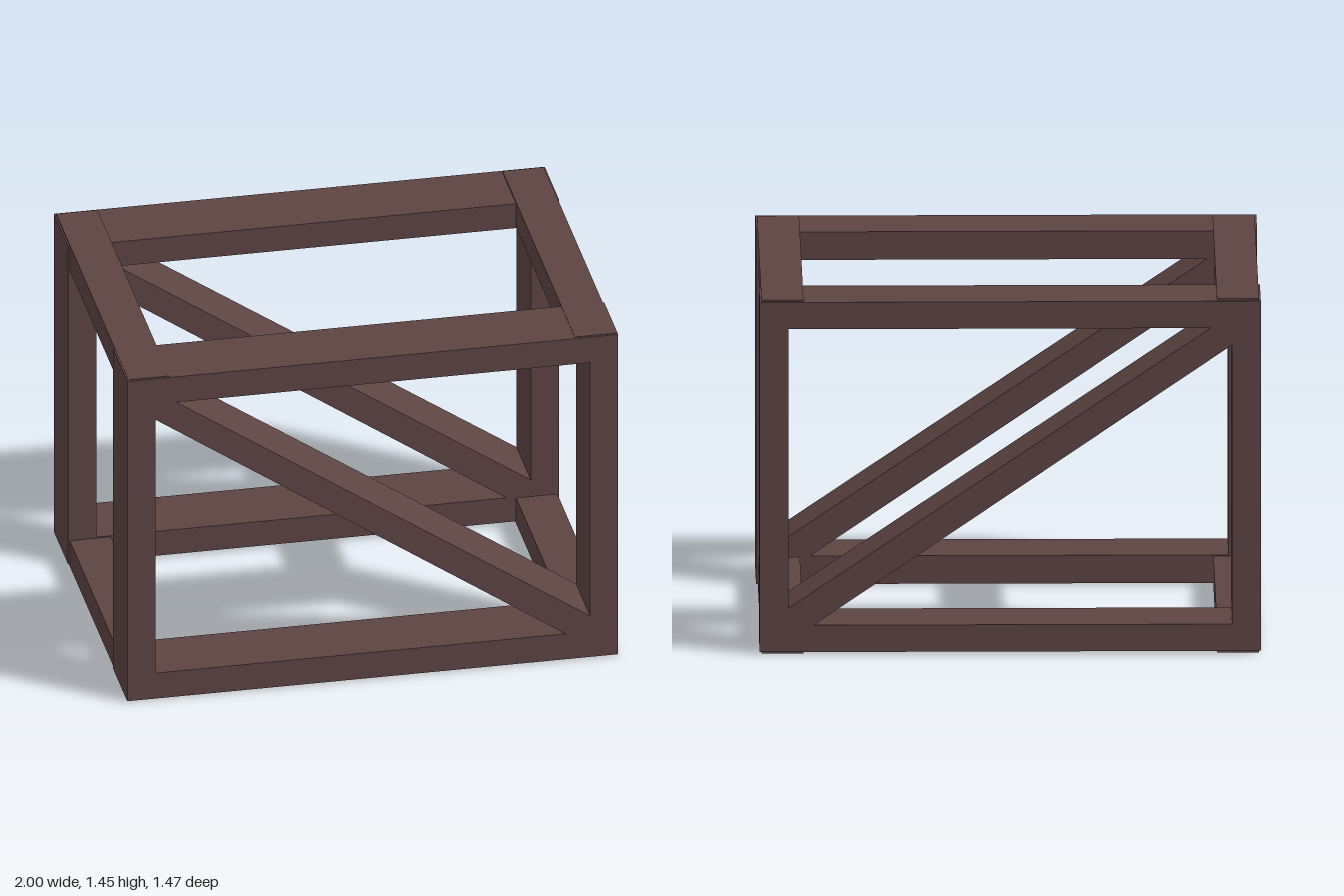
import * as THREE from 'three';

export function createModel() {
  const model = new THREE.Group();
  model.name = 'bracedCrateFrame';
  const wood = new THREE.MeshStandardMaterial({ color: 0x5d4443, flatShading: true });

  const add = (parent, name, geometry) => {
    const mesh = new THREE.Mesh(geometry, wood);
    mesh.name = name;
    parent.add(mesh);
    return mesh;
  };

  // Box given by its minimum and maximum corners
  const beam = (parent, name, [x0, y0, z0], [x1, y1, z1]) => {
    const mesh = add(parent, name, new THREE.BoxGeometry(x1 - x0, y1 - y0, z1 - z0));
    mesh.position.set((x0 + x1) / 2, (y0 + y1) / 2, (z0 + z1) / 2);
  };

  // Diagonal brace, cut to fit the corners of the frame opening
  const braceShape = new THREE.Shape([
    [-0.885, 1.265], [0.785, 0.12], [0.885, 0.12],
    [0.885, 0.19], [-0.8, 1.335], [-0.885, 1.335],
  ].map(([x, y]) => new THREE.Vector2(x, y)));

  // Front and back frames: two posts, two rails and a brace each
  for (const [side, z0, z1, bottom, top] of [
    ['front', 0.45, 0.73, 0.005, 1.45],
    ['back', -0.735, -0.45, 0.01, 1.445],
  ]) {
    const frame = new THREE.Group();
    frame.name = side + 'Frame';
    model.add(frame);
    beam(frame, 'bottomRail', [-1, bottom, z0], [1, 0.12, z1]);
    beam(frame, 'topRail', [-1, 1.335, z0], [1, top, z1]);
    beam(frame, 'rightPost', [-1, 0.12, z0], [-0.885, 1.335, z1]);
    beam(frame, 'leftPost', [0.885, 0.12, z0], [1, 1.335, z1]);
    const brace = new THREE.ExtrudeGeometry(braceShape, { depth: z1 - z0, bevelEnabled: false });
    add(frame, 'diagonalBrace', brace).position.z = z0;
  }

  // Side rails joining the two frames
  for (const [name, x0, x1] of [['right', -0.993, -0.825], ['left', 0.825, 0.993]]) {
    beam(model, name + 'BottomRail', [x0, 0, -0.72], [x1, 0.115, 0.72]);
    beam(model, name + 'TopRail', [x0, 1.337, -0.72], [x1, 1.452, 0.72]);
  }

  return model;
}
